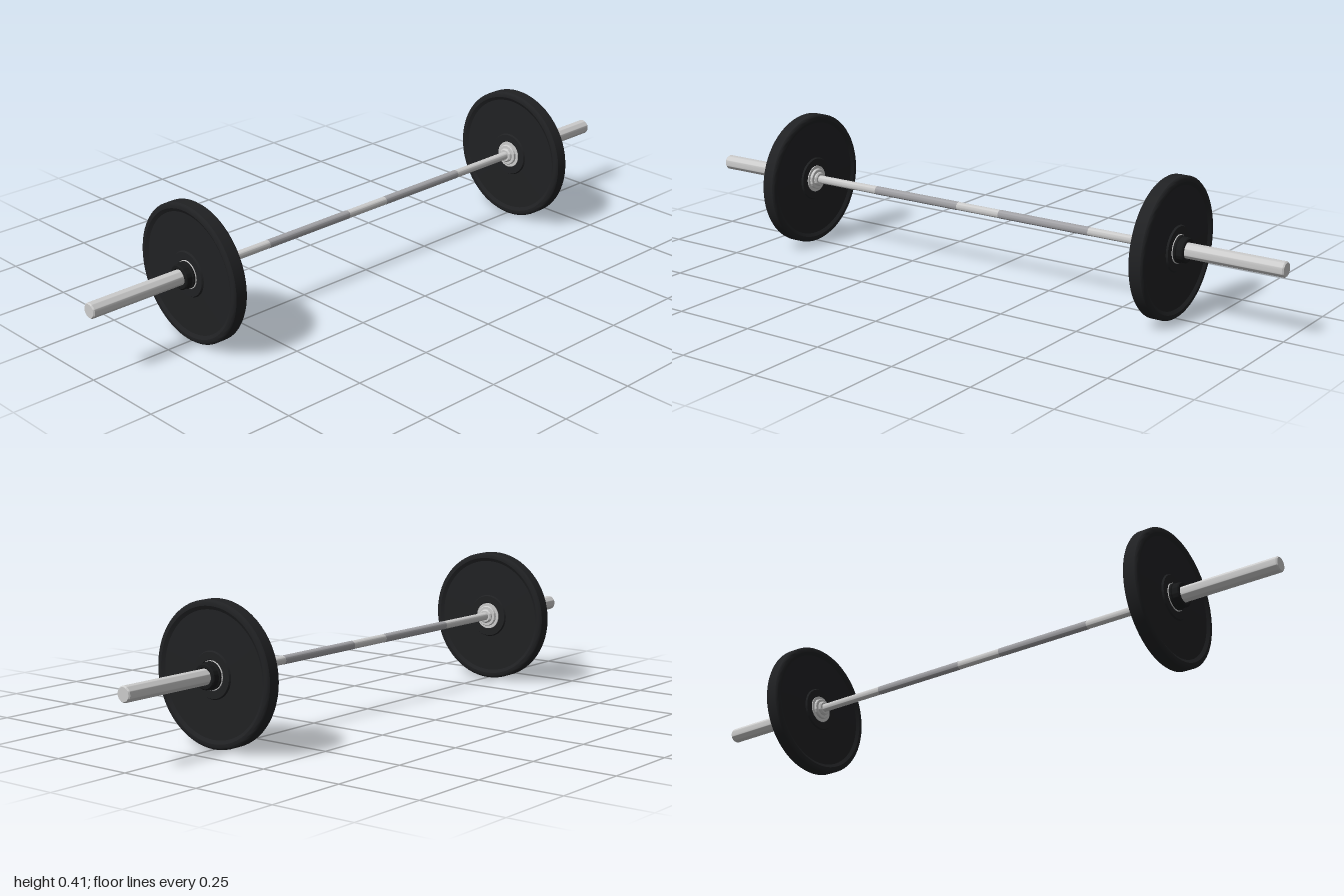
import * as THREE from 'three';
import { toCreasedNormals } from 'three/addons/utils/BufferGeometryUtils.js';

const R = 0.204; // plate radius, also the height of the bar's axis
const SEG = 64;

const steel = new THREE.MeshStandardMaterial({ color: 0xcccccc });
const grip = new THREE.MeshStandardMaterial({ color: 0xa2a2a6 });
const rubber = new THREE.MeshStandardMaterial({ color: 0x202123 });
const black = new THREE.MeshStandardMaterial({ color: 0x18191a });

// Solid of revolution about the x axis; profile is [x, radius] pairs,
// running from the inner end to the outer end (increasing x).
function turned(name, profile, material) {
  const points = profile.map(([x, r]) => new THREE.Vector2(r, x));
  const geometry = new THREE.LatheGeometry(points, SEG);
  geometry.rotateZ(-Math.PI / 2);
  const mesh = new THREE.Mesh(toCreasedNormals(geometry, 0.5), material);
  mesh.name = name;
  return mesh;
}

// Everything on the +x end of the bar
function createEnd(name) {
  const end = new THREE.Group();
  end.name = name;

  // Stop flange against the inside of the plate
  end.add(turned('stopFlange', [
    [0.612, 0], [0.612, 0.018], [0.616, 0.022], [0.62, 0.022], [0.62, 0.03],
    [0.622, 0.032], [0.632, 0.032], [0.632, 0],
  ], steel));

  // Loading sleeve with bevelled tip
  end.add(turned('sleeve', [
    [0.625, 0], [0.625, 0.0225], [0.996, 0.0225], [1, 0.0195], [1, 0],
  ], steel));

  // Plate: raised rim, recessed web and raised hub on both faces
  const half = 0.023;
  const face = [
    [half - 0.003, 0.024], [half - 0.003, 0.04], [half, 0.043], [half, 0.064], [half - 0.005, 0.067],
    [half - 0.006, 0.178], [half, 0.188], [half, 0.197], [half - 0.002, 0.201], [half - 0.006, R],
  ];
  const plate = turned('plate', [
    ...face.map(([x, r]) => [-x, r]),
    ...face.slice().reverse(),
    [-half + 0.003, 0.024],
  ], rubber);
  plate.position.x = 0.652;
  end.add(plate);

  // Metal bushing set into the plate hub
  end.add(turned('hubBushing', [
    [0.628, 0.024], [0.628, 0.041], [0.676, 0.041], [0.676, 0.024],
  ], steel));

  // Locking collar outside the plate
  end.add(turned('collar', [
    [0.674, 0.022], [0.674, 0.039], [0.682, 0.039], [0.684, 0.036],
    [0.701, 0.036], [0.704, 0.033], [0.704, 0.026], [0.7, 0.022],
  ], black));
  return end;
}

export function createModel() {
  const model = new THREE.Group();
  model.name = 'barbell';

  // Shaft
  model.add(turned('shaft', [[-0.63, 0], [-0.63, 0.0125], [0.63, 0.0125], [0.63, 0]], steel));

  // Two textured grip zones
  for (const side of [1, -1]) {
    const zone = turned(side > 0 ? 'leftGrip' : 'rightGrip', [
      [-0.155, 0.0122], [-0.154, 0.0129], [0.154, 0.0129], [0.155, 0.0122],
    ], grip);
    zone.position.x = side * 0.23;
    model.add(zone);
  }

  // Loaded ends, the second turned half round
  const left = createEnd('leftEnd');
  const right = createEnd('rightEnd');
  right.rotation.y = Math.PI;
  model.add(left, right);

  for (const part of model.children) part.position.y = R;
  return model;
}
